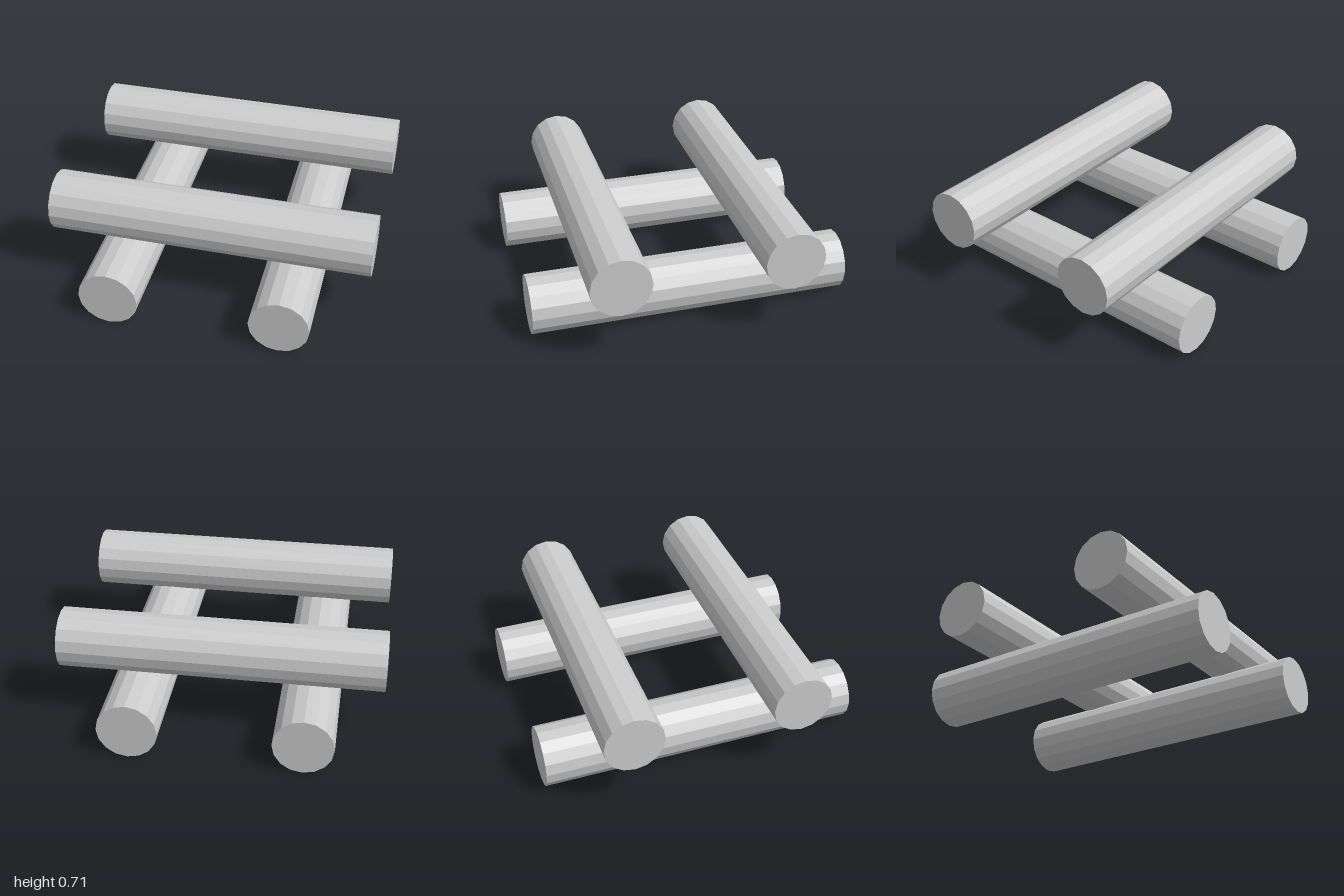
import * as THREE from 'three';

export function createModel() {
  const group = new THREE.Group();
  const material = new THREE.MeshStandardMaterial({ color: 0xcccccc, flatShading: true });
  const logGeometry = new THREE.CylinderGeometry(0.186, 0.186, 2, 16);

  function addLog(name, x, y, z, axis) {
    const log = new THREE.Mesh(logGeometry, material);
    log.name = name;
    log.position.set(x, y, z);
    if (axis === 'x') log.rotation.z = Math.PI / 2;
    else log.rotation.x = Math.PI / 2;
    group.add(log);
  }

  // Lower pair, running front to back
  addLog('lowerLogRight', -0.545, 0.188, 0, 'z');
  addLog('lowerLogLeft', 0.514, 0.188, 0, 'z');

  // Upper pair, laid across and slightly notched into the lower pair
  addLog('upperLogBack', 0, 0.527, -0.53, 'x');
  addLog('upperLogFront', 0, 0.527, 0.523, 'x');

  return group;
}
